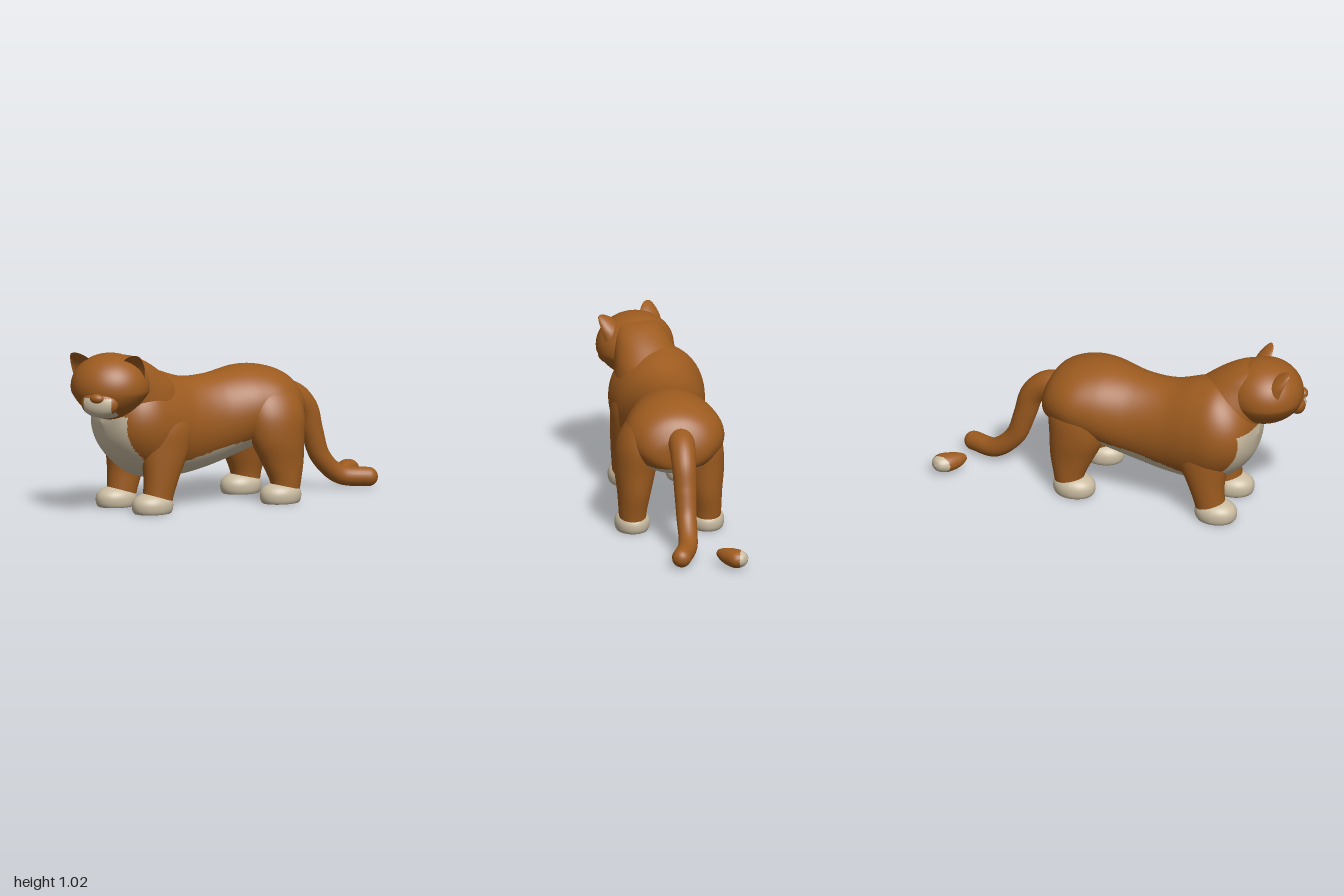
import * as THREE from 'three';

const mat = (name, color) => Object.assign(new THREE.MeshStandardMaterial({ color }), { name });

// Sort the triangles into two colour groups by a rule on their centres
function paint(geo, rule) {
  const p = geo.attributes.position, idx = geo.index.array, sets = [[], []];
  for (let i = 0; i < idx.length; i += 3) {
    const t = [idx[i], idx[i + 1], idx[i + 2]];
    const mid = (get) => (get(t[0]) + get(t[1]) + get(t[2])) / 3;
    const pale = rule(mid((k) => p.getX(k)), mid((k) => p.getY(k)), mid((k) => p.getZ(k)));
    for (const k of t) sets[pale ? 1 : 0].push(k);
  }
  geo.setIndex(sets[0].concat(sets[1]));
  geo.clearGroups();
  geo.addGroup(0, sets[0].length, 0);
  geo.addGroup(sets[0].length, sets[1].length, 1);
  return geo;
}

// Smooth skin over elliptical rings [x, y, z, radiusA, radiusB], rising along y or z
function loft(rows, axis, steps = 8, seg = 48, bend = (s) => s) {
  const mids = new THREE.CatmullRomCurve3(rows.map((r) => new THREE.Vector3(r[0], r[1], r[2])), false, 'catmullrom');
  const radii = new THREE.CatmullRomCurve3(rows.map((r) => new THREE.Vector3(r[3], r[4], 0)), false, 'catmullrom');
  const n = (rows.length - 1) * steps, pos = [], idx = [];
  for (let i = 0; i <= n; i++) {
    const c = mids.getPoint(i / n), r = radii.getPoint(i / n);
    for (let j = 0; j < seg; j++) {
      const a = (j / seg) * Math.PI * 2;
      const da = Math.max(r.x, 0.001) * Math.cos(a), db = Math.max(r.y, 0.001) * bend(Math.sin(a));
      if (axis === 'y') pos.push(c.x + da, c.y, c.z + db);
      else pos.push(c.x + da, c.y + db, c.z);
      if (i === n) continue;
      const p = i * seg + j, q = i * seg + (j + 1) % seg;
      if (axis === 'y') idx.push(p, p + seg, q, q, p + seg, q + seg);
      else idx.push(p, q, p + seg, q, q + seg, p + seg);
    }
  }
  const geo = new THREE.BufferGeometry();
  geo.setAttribute('position', new THREE.Float32BufferAttribute(pos, 3));
  geo.setIndex(idx);
  geo.computeVertexNormals();
  return geo;
}

export function createModel() {
  const model = new THREE.Group();
  model.name = 'cat';
  const fur = mat('brown fur', 0x9d5b1f);
  const cream = mat('cream fur', 0xc9bba1);
  const add = (parent, name, geo, material) => {
    const m = new THREE.Mesh(geo, material);
    m.name = name;
    parent.add(m);
    return m;
  };

  // Body group: local +z runs toward the chest
  const body = new THREE.Group();
  body.name = 'body';
  body.position.set(-0.15, 0, 0.11);
  body.rotation.y = -1.095;
  model.add(body);
  const underside = (x, y, z) =>
    (z > 0.42 && y < 0.62 && Math.abs(x) < 0.21) || y < Math.min(0.46, 0.36 - 0.22 * z);

  add(body, 'torso', paint(loft([
    [0, 0.56, -0.685, 0.001, 0.001],
    [0, 0.56, -0.665, 0.15, 0.10],
    [0, 0.59, -0.59, 0.25, 0.18],
    [0, 0.60, -0.45, 0.312, 0.23],
    [0, 0.58, -0.28, 0.3, 0.265],
    [0, 0.525, -0.05, 0.248, 0.285],
    [0, 0.505, 0.15, 0.25, 0.305],
    [0, 0.53, 0.35, 0.285, 0.34],
    [0, 0.555, 0.50, 0.3, 0.335],
    [0, 0.565, 0.62, 0.262, 0.26],
    [0, 0.565, 0.70, 0.17, 0.15],
    [0, 0.565, 0.735, 0.001, 0.001],
  ], 'z', 14, 112), underside), [fur, cream]);

  add(body, 'neck', paint(loft([
    [0.01, 0.42, 0.42, 0.22, 0.22],
    [0.01, 0.55, 0.44, 0.25, 0.265],
    [0.02, 0.66, 0.46, 0.245, 0.27],
    [0.045, 0.77, 0.505, 0.215, 0.26],
    [0.07, 0.87, 0.575, 0.18, 0.21],
    [0.085, 0.94, 0.635, 0.15, 0.165],
    [0.095, 0.985, 0.68, 0.1, 0.11],
    [0.1, 1.002, 0.7, 0.001, 0.001],
  ], 'y', 10, 80), underside), [fur, cream]);

  // Legs, each with a flat-soled, rounded paw
  const paw = new THREE.SphereGeometry(1, 32, 24);
  const pp = paw.attributes.position;
  for (let i = 0; i < pp.count; i++) {
    const y = pp.getY(i), k = Math.sqrt(1 + (y < 0 ? 0.7 : 0.25) * y * y);
    pp.setXYZ(i, pp.getX(i) * 0.11 * k, Math.max(0, 0.05 + y * 0.08), pp.getZ(i) * 0.136 * k);
  }
  paw.computeVertexNormals();

  // Rows: height, sideways shift toward the body, shift along the body, radii
  const foreRows = [
    [0.04, 0, -0.03, 0.085, 0.095], [0.12, 0, -0.045, 0.09, 0.1], [0.25, 0, -0.07, 0.1, 0.125],
    [0.4, 0.015, -0.095, 0.12, 0.175], [0.55, 0.03, -0.1, 0.125, 0.205],
    [0.7, 0.075, -0.1, 0.095, 0.17], [0.8, 0.11, -0.1, 0.001, 0.001],
  ];
  const hindRows = [
    [0.04, 0, -0.03, 0.082, 0.09], [0.13, 0, -0.035, 0.088, 0.1], [0.25, 0.01, -0.02, 0.105, 0.14],
    [0.4, 0.02, 0.01, 0.13, 0.18], [0.55, 0.035, 0.015, 0.135, 0.195],
    [0.67, 0.065, 0.015, 0.11, 0.165], [0.75, 0.1, 0.02, 0.06, 0.09], [0.78, 0.11, 0.02, 0.001, 0.001],
  ];
  for (const [name, x, z, rows] of [
    ['leftFrontLeg', 0.195, 0.48, foreRows], ['rightFrontLeg', -0.17, 0.515, foreRows],
    ['leftHindLeg', 0.262, -0.42, hindRows], ['rightHindLeg', -0.203, -0.423, hindRows],
  ]) {
    const leg = new THREE.Group();
    leg.name = name;
    leg.position.set(x, 0, z);
    body.add(leg);
    const s = Math.sign(x);
    add(leg, 'limb', loft(rows.map(([y, dx, dz, a, b]) => [-s * dx, y, dz, a, b]), 'y', 6, 36), fur);
    add(leg, 'paw', paw, cream);
  }

  // Head: turned a little more toward the front than the body
  const head = new THREE.Group();
  head.name = 'head';
  head.position.set(-0.755, 0.81, 0.54);
  head.rotation.y = -0.44;
  model.add(head);
  const chin = (x, y, z) => z > 0.09 && y < -0.06 && Math.abs(x) < 0.09;

  const skull = new THREE.SphereGeometry(1, 96, 64);
  const sp = skull.attributes.position;
  for (let i = 0; i < sp.count; i++) {
    const y = sp.getY(i), taper = y < -0.15 ? 1 - 0.28 * (-y - 0.15) : 1;
    sp.setXYZ(i, sp.getX(i) * 0.247 * taper, y * 0.207, sp.getZ(i) * 0.238);
  }
  skull.computeVertexNormals();
  add(head, 'skull', paint(skull, chin), [fur, cream]);

  const muzzle = new THREE.SphereGeometry(1, 64, 48);
  muzzle.scale(0.12, 0.085, 0.065);
  muzzle.translate(0, -0.085, 0.19);
  add(head, 'muzzle', paint(muzzle, (x, y) => Math.abs(x) < 0.09 && y < -0.045), [fur, cream]);

  const nose = new THREE.SphereGeometry(1, 24, 16);
  nose.scale(0.045, 0.03, 0.03);
  add(head, 'nose', nose, fur).position.set(0, -0.045, 0.242);

  // Cupped ears leaning forward and outward
  for (const s of [-1, 1]) {
    add(head, s > 0 ? 'leftEar' : 'rightEar', loft([
      [s * 0.15, 0.06, 0.02, 0.085, 0.07],
      [s * 0.165, 0.13, 0.045, 0.078, 0.06],
      [s * 0.18, 0.18, 0.075, 0.058, 0.04],
      [s * 0.195, 0.207, 0.095, 0.03, 0.02],
      [s * 0.2, 0.215, 0.1, 0.001, 0.001],
    ], 'y', 6, 32, (v) => (v > 0 ? -0.25 * v : v)), fur);
  }

  // Tail: thick at the root, with a rounded end lying on the ground
  const path = new THREE.CatmullRomCurve3([
    [0.33, 0.64, -0.15], [0.45, 0.62, -0.22], [0.535, 0.53, -0.265], [0.578, 0.38, -0.29],
    [0.635, 0.21, -0.32], [0.76, 0.088, -0.375], [0.94, 0.066, -0.4],
  ].map((p) => new THREE.Vector3(...p)));
  const tail = new THREE.TubeGeometry(path, 60, 0.06, 24);
  const tp = tail.attributes.position, v = new THREE.Vector3();
  for (let i = 0; i < tp.count; i++) {
    const t = Math.floor(i / 25) / 60, c = path.getPointAt(t);
    v.fromBufferAttribute(tp, i).sub(c).multiplyScalar(1 + 0.45 * Math.max(0, 1 - t / 0.7)).add(c);
    tp.setXYZ(i, v.x, v.y, v.z);
  }
  add(model, 'tail', tail, fur);
  add(model, 'tailEnd', new THREE.SphereGeometry(0.06, 24, 16), fur).position.set(0.94, 0.066, -0.4);

  // Separate pale-ended tail tip
  add(model, 'tailTip', paint(loft([
    [0.84, 0.07, -0.803, 0.001, 0.001],
    [0.845, 0.07, -0.785, 0.045, 0.038],
    [0.842, 0.068, -0.73, 0.07, 0.058],
    [0.82, 0.07, -0.65, 0.052, 0.05],
    [0.805, 0.075, -0.595, 0.024, 0.025],
    [0.803, 0.075, -0.58, 0.001, 0.001],
  ], 'z', 12, 48), (x, y, z) => z < -0.755 - 0.3 * (x - 0.845)), [fur, cream]);

  return model;
}
